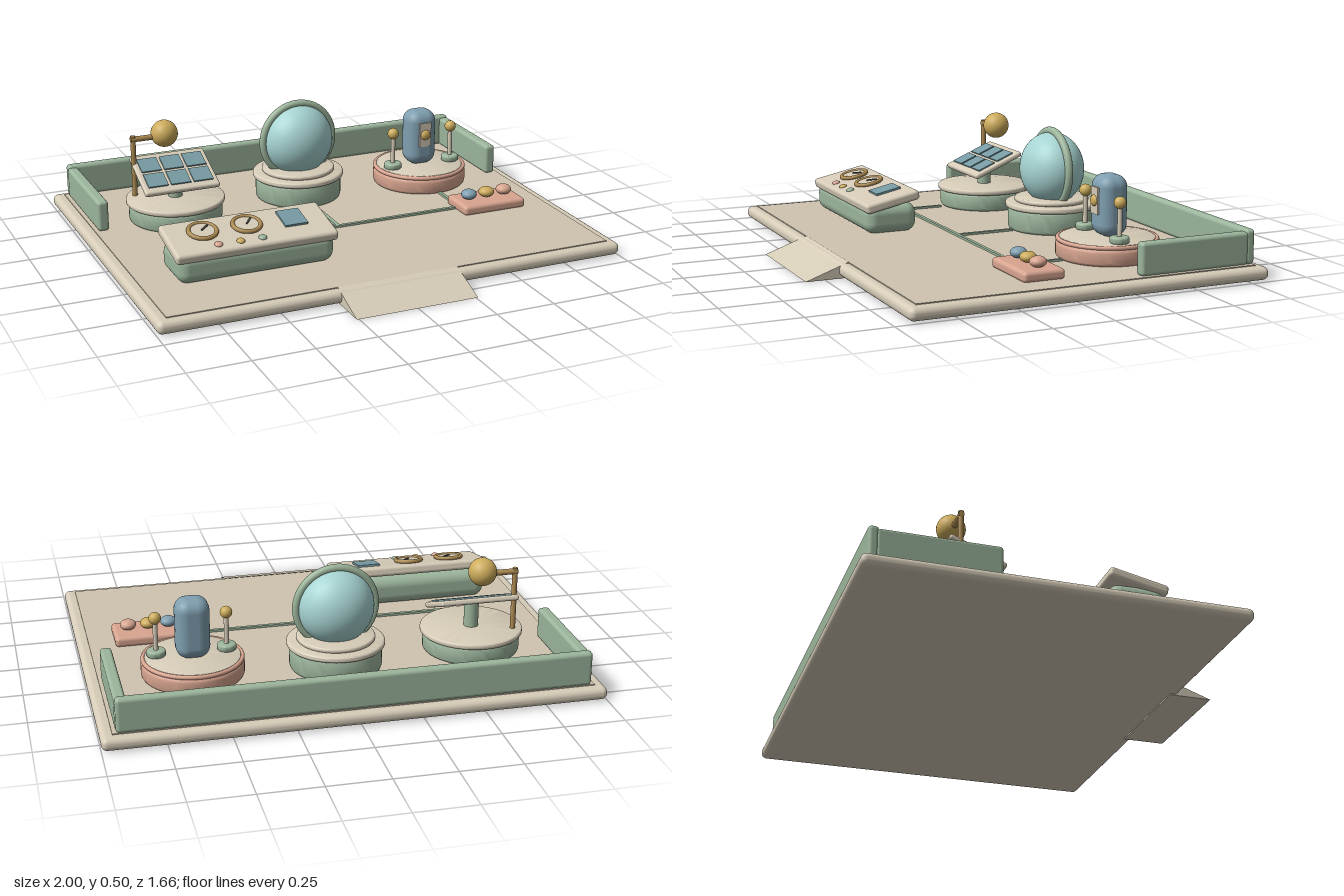
import * as THREE from 'three';
import { RoundedBoxGeometry } from 'three/addons/geometries/RoundedBoxGeometry.js';
import { toCreasedNormals } from 'three/addons/utils/BufferGeometryUtils.js';

const paint = (name, color) => {
  const m = new THREE.MeshStandardMaterial({ color });
  m.name = name;
  return m;
};

export function createModel() {
  const floorTan = paint('floor tan', 0xcfc4af);
  const cream = paint('cream', 0xd6ccb8);
  const green = paint('sage green', 0x9cb59c);
  const salmon = paint('salmon', 0xd8a590);
  const aqua = paint('aqua', 0xa6d4d2);
  const teal = paint('panel teal', 0x779ba3);
  const steel = paint('steel blue', 0x7f9fb0);
  const gold = paint('gold', 0xcdac5c);
  const bronze = paint('bronze', 0xac8a52);
  const dark = paint('dark', 0x55524c);

  const model = new THREE.Group();
  model.name = 'exhibitDeck';

  const group = (name, x, y, z, parent = model) => {
    const g = new THREE.Group();
    g.name = name;
    g.position.set(x, y, z);
    parent.add(g);
    return g;
  };
  const add = (name, geo, mat, x, y, z, parent = model) => {
    const m = new THREE.Mesh(geo, mat);
    m.name = name;
    m.position.set(x, y, z);
    parent.add(m);
    return m;
  };
  const box = (w, h, d) => new THREE.BoxGeometry(w, h, d);
  const soft = (w, h, d, r) => new RoundedBoxGeometry(w, h, d, 4, r);
  const ball = (r) => new THREE.SphereGeometry(r, 32, 20);
  const rod = (r, h) => new THREE.CylinderGeometry(r, r, h, 24);
  // Round slab standing on its local y = 0, with rounded edges
  const disc = (r, h, b) => {
    const pts = [new THREE.Vector2(0, 0)];
    for (const [cy, start] of [[b, -Math.PI / 2], [h - b, 0]]) {
      for (let i = 0; i <= 5; i++) {
        const a = start + (i / 5) * Math.PI / 2;
        pts.push(new THREE.Vector2(r - b + b * Math.cos(a), cy + b * Math.sin(a)));
      }
    }
    pts.push(new THREE.Vector2(0, h));
    return toCreasedNormals(new THREE.LatheGeometry(pts, 56), 0.6);
  };

  // Deck, floor inlay and entry ramp
  add('deckBase', soft(2, 0.053, 1.52, 0.024), cream, 0, 0.0315, -0.07);
  add('floorInlay', box(1.91, 0.008, 1.44), floorTan, 0, 0.058, -0.07);
  const wedge = new THREE.Shape([
    new THREE.Vector2(-0.83, 0), new THREE.Vector2(-0.65, 0), new THREE.Vector2(-0.65, 0.063),
  ]);
  const rampGeo = new THREE.ExtrudeGeometry(wedge, { depth: 0.52, bevelEnabled: false });
  add('ramp', rampGeo, cream, -0.26, 0, 0).rotation.y = Math.PI / 2;

  // Low walls
  add('backWall', soft(1.88, 0.142, 0.043, 0.016), green, 0, 0.131, -0.774);
  for (const s of [-1, 1]) {
    add('sideWall', soft(0.047, 0.132, 0.48, 0.014), green, s * 0.918, 0.126, -0.525);
  }

  // Floor conduits
  const conduit = (w, d, x, z) => add('conduit', box(w, 0.012, d), green, x, 0.065, z);
  conduit(1.18, 0.015, -0.01, 0.066);
  conduit(0.014, 0.18, -0.59, -0.02);
  conduit(0.017, 0.26, 0, -0.06);
  conduit(0.014, 0.14, 0.58, -0.06);

  // Solar station
  const solar = group('solarStation', -0.588, 0.06, -0.326);
  add('pedestal', disc(0.2, 0.08, 0.018), green, 0, 0, 0, solar);
  add('pedestalTop', disc(0.211, 0.024, 0.009), cream, 0, 0.076, 0, solar);
  add('panelPost', rod(0.03, 0.11), green, 0, 0.15, 0, solar);
  const panel = group('solarPanel', 0, 0.205, 0, solar);
  panel.rotation.x = 0.4;
  add('panelFrame', soft(0.33, 0.024, 0.245, 0.01), cream, 0, 0, 0, panel);
  for (let c = -1; c <= 1; c++) {
    for (const r of [-1, 1]) {
      add('solarCell', box(0.087, 0.008, 0.083), teal, c * 0.1, 0.014, r * 0.049, panel);
    }
  }
  add('lampPost', rod(0.011, 0.27), bronze, -0.157, 0.23, -0.07, solar);
  add('lampArm', rod(0.012, 0.165), bronze, -0.085, 0.35, -0.07, solar).rotation.z = Math.PI / 2;
  add('lampBall', ball(0.058), gold, -0.018, 0.36, -0.07, solar);

  // Dome station
  const dome = group('domeStation', 0, 0.06, -0.377);
  add('pedestal', disc(0.188, 0.1, 0.018), green, 0, 0, 0, dome);
  add('pedestalTop', disc(0.2, 0.026, 0.011), cream, 0, 0.095, 0, dome);
  add('domeCollar', disc(0.16, 0.02, 0.009), cream, 0, 0.12, 0, dome);
  add('globe', new THREE.SphereGeometry(0.156, 48, 32), aqua, 0, 0.26, 0, dome).scale.z = 0.86;
  add('globeRing', new THREE.TorusGeometry(0.162, 0.017, 16, 72), green, 0, 0.26, 0, dome);

  // Capsule station
  const pod = group('capsuleStation', 0.577, 0.06, -0.334);
  add('pedestal', disc(0.208, 0.075, 0.02), salmon, 0, 0, 0, pod);
  add('pedestalLip', new THREE.TorusGeometry(0.199, 0.009, 12, 64), salmon, 0, 0.077, 0, pod)
    .rotation.x = Math.PI / 2;
  add('pedestalTop', disc(0.193, 0.02, 0.004), cream, 0, 0.066, 0, pod);
  add('capsule', soft(0.138, 0.25, 0.125, 0.05), steel, 0, 0.211, -0.007, pod);
  add('capsulePlate', box(0.056, 0.11, 0.009), cream, 0, 0.233, 0.057, pod);
  add('capsuleKnob', ball(0.023), gold, 0, 0.233, 0.061, pod).scale.z = 0.6;
  for (const s of [-1, 1]) {
    const post = group('signalPost', s * 0.143, 0.085, 0.024, pod);
    add('postFoot', disc(0.039, 0.028, 0.008), green, 0, 0, 0, post);
    add('postRod', rod(0.01, 0.13), cream, 0, 0.085, 0, post);
    add('postBall', ball(0.025), gold, 0, 0.162, 0, post);
  }

  // Button box
  const buttons = group('buttonBox', 0.7, 0.06, 0.079);
  add('buttonBoxBody', soft(0.295, 0.044, 0.177, 0.016), salmon, 0, 0.02, 0, buttons);
  [steel, gold, salmon].forEach((mat, i) => {
    add('button', ball(0.034), mat, (i - 1) * 0.085, 0.064, 0, buttons).scale.y = 0.65;
  });

  // Control console
  const desk = group('controlConsole', -0.49, 0.06, 0.295);
  add('consoleBody', soft(0.66, 0.125, 0.23, 0.045), green, 0, 0.0625, 0, desk);
  const top = group('consoleTop', 0, 0.137, 0, desk);
  top.rotation.x = 0.21;
  add('consoleSlab', soft(0.68, 0.042, 0.245, 0.014), cream, 0, 0, 0, top);
  [-0.187, -0.002].forEach((x, i) => {
    const dial = group('dial', x, 0.021, -0.022, top);
    add('dialFace', rod(0.056, 0.012), cream, 0, 0.004, 0, dial);
    add('dialRim', new THREE.TorusGeometry(0.056, 0.009, 12, 40), bronze, 0, 0.007, 0, dial)
      .rotation.x = Math.PI / 2;
    add('dialNeedle', box(0.045, 0.005, 0.007), dark, 0.012, 0.013, -0.012, dial)
      .rotation.y = i ? 0.9 : 0.7;
  });
  add('screen', box(0.097, 0.009, 0.112), teal, 0.192, 0.025, -0.022, top);
  [salmon, gold, green].forEach((mat, i) => {
    add('consoleButton', ball(0.017), mat, -0.155 + i * 0.092, 0.022, 0.079, top).scale.y = 0.6;
  });

  return model;
}
